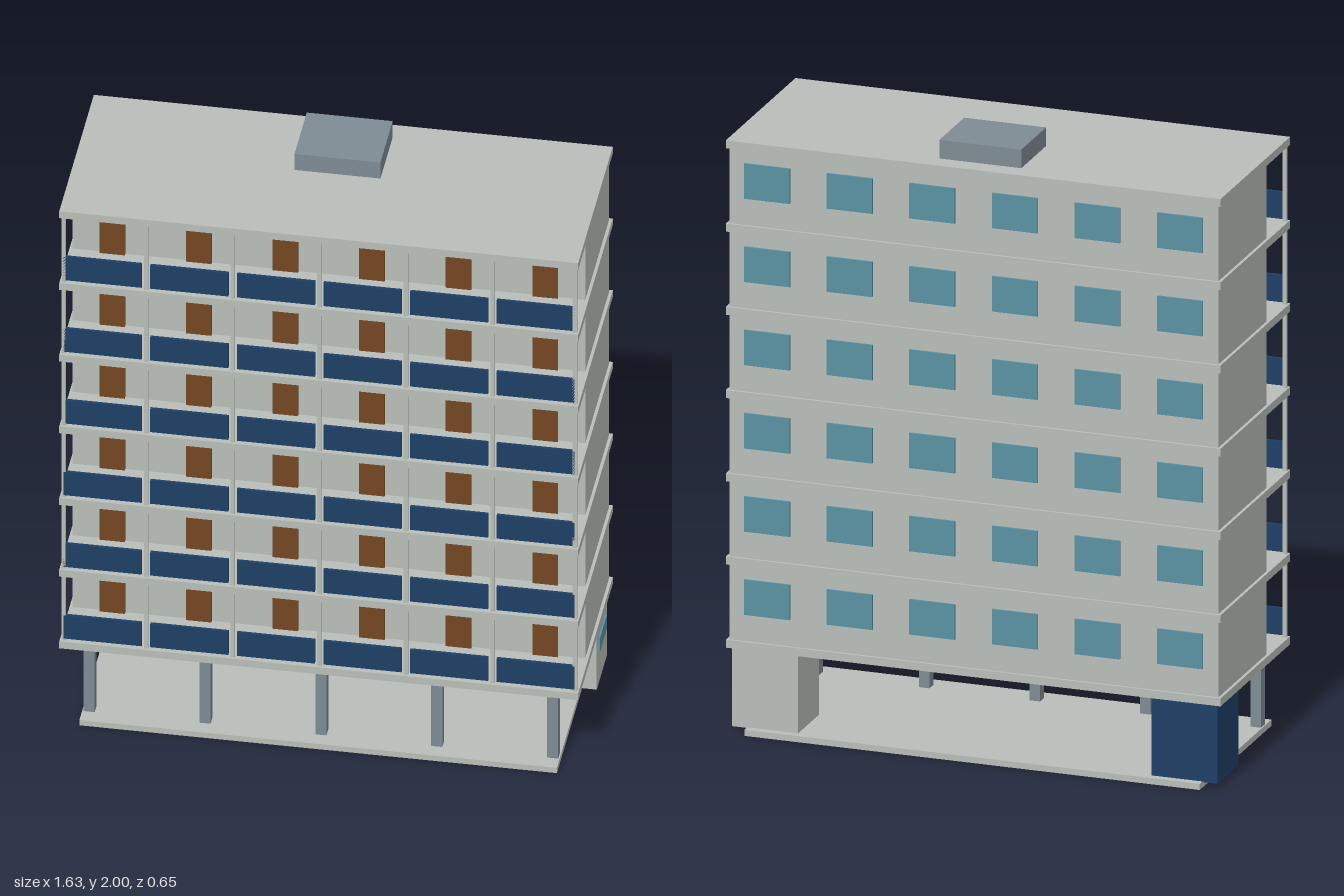
import * as THREE from 'three';

const paint = (name, color) => {
  const m = new THREE.MeshStandardMaterial({ color });
  m.name = name;
  return m;
};

export function createModel() {
  const concrete = paint('concrete', 0xb9beb9);
  const steel = paint('greySteel', 0x7f8b94);
  const navy = paint('navyPanel', 0x1f3f66);
  const wood = paint('brownWood', 0x744522);
  const glass = paint('blueGlass', 0x5a93a3);

  const building = new THREE.Group();
  building.name = 'apartmentBlock';

  // Box given by its extents on each axis
  const box = (parent, name, mat, [x0, x1], [y0, y1], [z0, z1]) => {
    const mesh = new THREE.Mesh(new THREE.BoxGeometry(x1 - x0, y1 - y0, z1 - z0), mat);
    mesh.position.set((x0 + x1) / 2, (y0 + y1) / 2, (z0 + z1) / 2);
    mesh.name = name;
    parent.add(mesh);
  };
  const around = (c, size) => [c - size / 2, c + size / 2];

  const floors = 6, bays = 6;
  const storey = 0.2725, bay = 0.272;
  const firstSlab = 0.278, slabThick = 0.026;

  // Open ground floor
  box(building, 'baseSlab', concrete, [-0.75, 0.75], [0, 0.02], [-0.325, 0.325]);
  for (let i = -2; i <= 2; i++) {
    box(building, 'groundColumn', steel, around(i * 0.364, 0.035), [0.02, firstSlab], around(0.258, 0.035));
  }
  box(building, 'entranceRoom', concrete, [0.582, 0.8], [0.018, firstSlab], [-0.3, -0.11]);
  box(building, 'entranceWindow', glass, [0.798, 0.805], [0.14, 0.193], [-0.265, -0.143]);
  box(building, 'storageRoom', navy, [-0.8, -0.582], [0.018, firstSlab], [-0.3, -0.11]);

  // Repeated storeys
  for (let f = 0; f < floors; f++) {
    const level = new THREE.Group();
    level.name = `storey${f + 1}`;
    building.add(level);
    const under = firstSlab + f * storey;
    const y = under + slabThick;
    const ceiling = under + storey;

    box(level, 'floorSlab', concrete, [-0.815, 0.815], [under, y], [-0.315, 0.315]);
    box(level, 'walls', concrete, [-0.805, 0.805], [y, ceiling], [-0.307, 0.127]);

    // Balcony posts
    for (let i = 0; i <= bays; i++) {
      const x = Math.max(-0.803, Math.min(0.803, (i - bays / 2) * bay));
      box(level, 'balconyPost', concrete, around(x, 0.013), [y, ceiling], around(0.302, 0.01));
    }
    // Door, railing and rear window of each flat
    for (let i = 0; i < bays; i++) {
      const x = (i - (bays - 1) / 2) * bay;
      box(level, 'balconyDoor', wood, around(x, 0.08), [y, y + 0.191], [0.127, 0.136]);
      box(level, 'balconyRailing', navy, around(x, 0.245), [y + 0.007, y + 0.095], around(0.302, 0.01));
      box(level, 'rearWindow', glass, around(x, 0.15), [y + 0.088, y + 0.203], [-0.314, -0.307]);
    }
  }

  // Roof
  const roof = firstSlab + floors * storey;
  box(building, 'roofSlab', concrete, [-0.815, 0.815], [roof, roof + slabThick], [-0.315, 0.315]);
  box(building, 'roofPlantRoom', steel, [-0.135, 0.135], [roof + slabThick, 2], [-0.25, -0.026]);

  return building;
}
